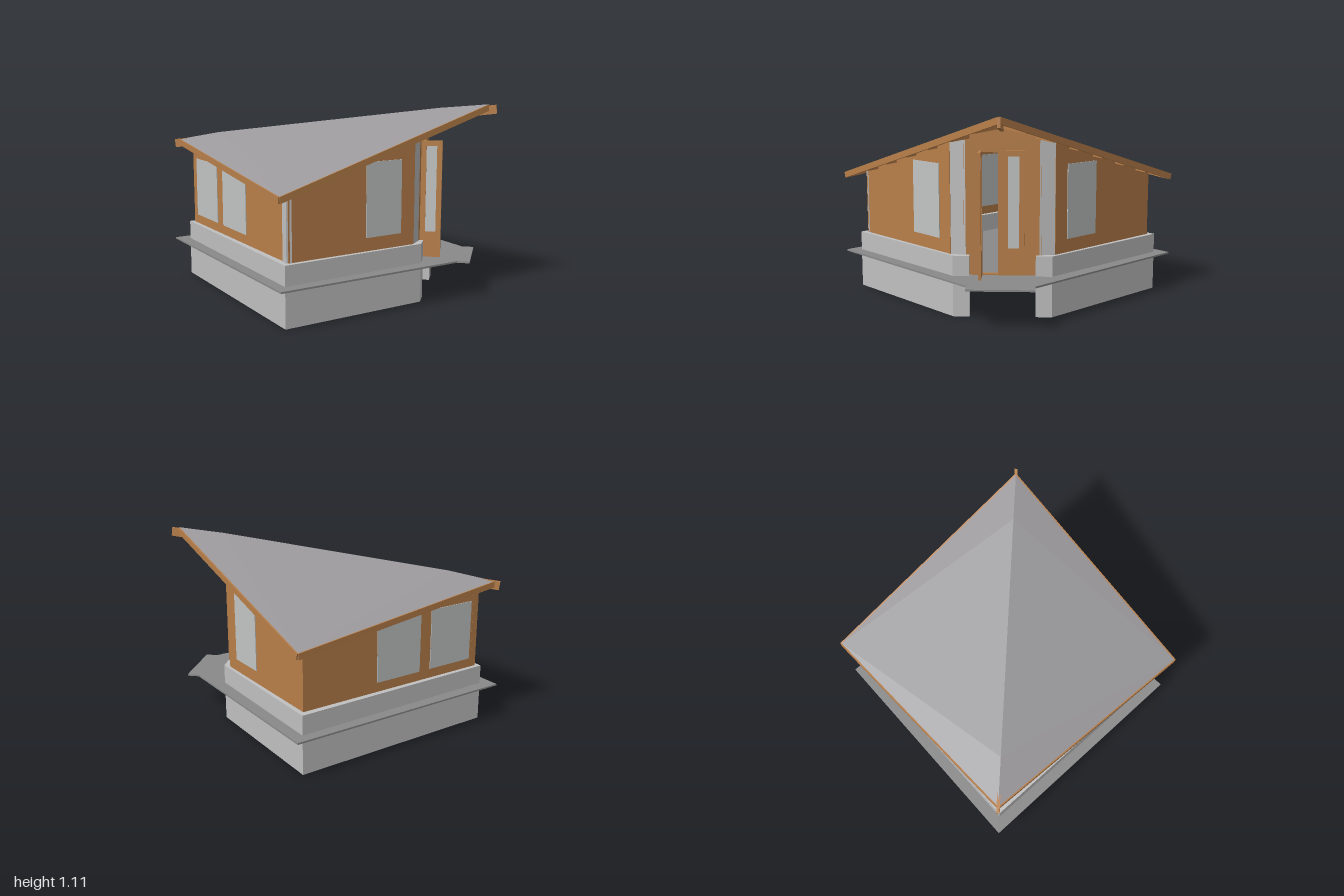
import * as THREE from 'three';

export function createModel() {
  const model = new THREE.Group();
  const mat = (name, color, side = THREE.FrontSide) => {
    const m = new THREE.MeshStandardMaterial({ color, side });
    m.name = name;
    return m;
  };
  const concrete = mat('concrete', 0xc0c0c0);
  const wood = mat('wood', 0xb87f4a);
  const glass = mat('glass', 0xc2c4c4);
  const roofing = mat('roofing', 0x9a989b, THREE.DoubleSide);
  const paving = mat('paving', 0x8a8a8a);

  const add = (name, geo, material, parent = model) => {
    const m = new THREE.Mesh(geo, material);
    m.name = name;
    parent.add(m);
    return m;
  };
  const V = (x, y, z) => new THREE.Vector3(x, y, z);
  const shape = pts => new THREE.Shape(pts.map(p => new THREE.Vector2(p[0], p[1])));
  const extrude = (s, depth) => new THREE.ExtrudeGeometry(s, { depth, bevelEnabled: false });

  // Vertical prism over a plan outline of [x, z] points
  const prism = (name, plan, y0, y1, material) => {
    const geo = extrude(shape(plan.map(([x, z]) => [x, -z])), y1 - y0);
    geo.rotateX(-Math.PI / 2).translate(0, y0, 0);
    return add(name, geo, material);
  };

  // Rectangular timber between two points
  const beam = (name, a, b, w, h) => {
    const m = add(name, new THREE.BoxGeometry(w, h, a.distanceTo(b)), wood);
    m.position.copy(a).add(b).multiplyScalar(0.5);
    m.lookAt(b);
    return m;
  };

  const roofY = (x, z) => 0.986 + 0.13 * x - 0.283 * Math.abs(z);

  // Foundation curb, open at the entrance corner
  prism('foundation', [
    [0.612, 0.27], [-0.005, 0.9], [-0.9, 0], [-0.005, -0.9], [0.612, -0.27], [0.612, -0.18],
    [0.57, -0.18], [0, -0.76], [-0.76, 0], [0, 0.76], [0.57, 0.18], [0.612, 0.18],
  ], 0, 0.34, concrete);

  // Ground slab with a square step at the entrance
  prism('groundSlab', [
    [-1, 0], [0, 0.99], [0.81, 0.18], [0.88, 0.18], [0.88, -0.18], [0.81, -0.18], [0, -0.99],
  ], 0.218, 0.228, paving);
  prism('centrePost', [[0.062, 0], [0, 0.062], [-0.062, 0], [0, -0.062]], 0, 0.22, wood);

  // Wall with a sloping top; windows are [xStart, xEnd, y0, y1]
  const D = 0.855, T = 0.04;
  const wall = (name, a, b, windows) => {
    const g = new THREE.Group();
    g.name = name;
    const len = Math.hypot(b[0] - a[0], b[1] - a[1]);
    const geo = extrude(shape([
      [0, 0.33], [len, 0.33], [len, roofY(...b) - 0.012], [0, roofY(...a) - 0.012],
    ]), T);
    geo.translate(0, 0, -T);
    add('wallPanel', geo, wood, g);
    for (const [x0, x1, y0, y1] of windows) {
      const u = x => (x - a[0]) / (b[0] - a[0]) * len;
      for (const z of [0.001, -T - 0.001]) {
        const pane = add('window', new THREE.BoxGeometry(Math.abs(u(x1) - u(x0)), y1 - y0, 0.006), glass, g);
        pane.position.set((u(x0) + u(x1)) / 2, (y0 + y1) / 2, z);
      }
    }
    g.position.set(a[0], 0, a[1]);
    g.rotation.y = Math.atan2(-(b[1] - a[1]), b[0] - a[0]);
    model.add(g);
  };
  const small = [[-0.825, -0.61, 0.395, 0.75], [-0.555, -0.34, 0.395, 0.75]];
  const tall = [[0.34, 0.505, 0.415, 0.83]];
  wall('frontLeftWall', [-0.865, 0], [0, D], small);
  wall('frontRightWall', [0, D], [0.57, 0.285], tall);
  wall('backRightWall', [0.57, -0.285], [0, -D], tall);
  wall('backLeftWall', [0, -D], [-0.865, 0], small);

  // Concrete post at the front corner
  prism('cornerPost', [
    [-0.01, 0.858], [0.016, 0.843], [-0.01, 0.81], [-0.04, 0.825],
  ], 0.33, 0.735, concrete);

  // Angled columns either side of the entrance
  for (const s of [1, -1]) {
    prism('entranceColumn', [
      [0.567, s * 0.288], [0.587, s * 0.2], [0.53, s * 0.2], [0.52, s * 0.285],
    ], 0.33, 0.965, concrete);
  }

  // Entrance wall with the doorway cut out (shape axis runs along -z)
  const front = shape([
    [-0.21, 0.225], [0.21, 0.225], [0.21, roofY(0.58, 0.21) - 0.01],
    [0, roofY(0.58, 0) - 0.01], [-0.21, roofY(0.58, 0.21) - 0.01],
  ]);
  front.holes.push(new THREE.Path([[-0.115, 0.235], [-0.115, 0.9], [0.115, 0.9], [0.115, 0.235]]
    .map(p => new THREE.Vector2(...p))));
  const entrance = add('entranceWall', extrude(front, 0.025), wood);
  entrance.rotation.y = Math.PI / 2;
  entrance.position.x = 0.56;

  // Door leaf: timber frame around a glass pane
  const doorLeaf = name => {
    const g = new THREE.Group();
    g.name = name;
    const s = shape([[0, 0.23], [0.12, 0.23], [0.12, 0.91], [0, 0.91]]);
    s.holes.push(new THREE.Path([[0.03, 0.38], [0.03, 0.88], [0.09, 0.88], [0.09, 0.38]]
      .map(p => new THREE.Vector2(...p))));
    add('doorFrame', extrude(s, 0.016), wood, g);
    add('doorGlass', new THREE.BoxGeometry(0.06, 0.5, 0.008), glass, g).position.set(0.06, 0.63, 0.008);
    model.add(g);
    return g;
  };
  const closed = doorLeaf('closedDoor');
  closed.rotation.y = Math.PI / 2;
  closed.position.set(0.585, 0, 0);
  const open = doorLeaf('openDoor');
  open.position.set(0.585, 0, 0.11);
  beam('doorMullion', V(0.587, 0.23, 0.012), V(0.587, 0.91, 0.012), 0.025, 0.025);

  // Roof: a fan of facets on each side of the ridge
  const ridge = [V(-0.95, 0.865, 0), V(-0.69, 0.915, 0), V(0.67, 1.088, 0), V(0.95, 1.113, 0)];
  for (const s of [1, -1]) {
    const corner = V(-0.005, 0.712, s * 0.985);
    const pos = [];
    for (let i = 0; i < 3; i++) {
      const tri = s > 0 ? [corner, ridge[i + 1], ridge[i]] : [corner, ridge[i], ridge[i + 1]];
      tri.forEach(p => pos.push(p.x, p.y, p.z));
    }
    const geo = new THREE.BufferGeometry();
    geo.setAttribute('position', new THREE.Float32BufferAttribute(pos, 3));
    geo.computeVertexNormals();
    add(s > 0 ? 'frontRoof' : 'backRoof', geo, roofing);

    // Fascia boards along the eaves
    for (const end of [ridge[0], ridge[3]]) {
      const drop = V(0, -0.018, 0);
      beam('fascia', end.clone().add(drop), corner.clone().add(drop), 0.014, 0.035);
    }

    // Rafter tails running square to the walls out to the eaves
    for (const side of [-1, 1]) {
      for (let i = 1; i < 7; i++) {
        const t = i / 7;
        const ox = side * 0.94 * t, oz = 0.96 * (1 - t);
        const reach = Math.min(0.16, oz);
        const ix = ox - side * reach, iz = oz - reach;
        beam('rafterTail', V(ix, roofY(ix, iz) - 0.026, s * iz), V(ox, roofY(ox, oz) - 0.022, s * oz), 0.018, 0.025);
      }
    }
  }

  // Ridge beam projecting past both gable ends
  beam('ridgeBeam', V(-0.98, 0.838, 0), V(0.995, 1.086, 0), 0.018, 0.05);

  return model;
}
